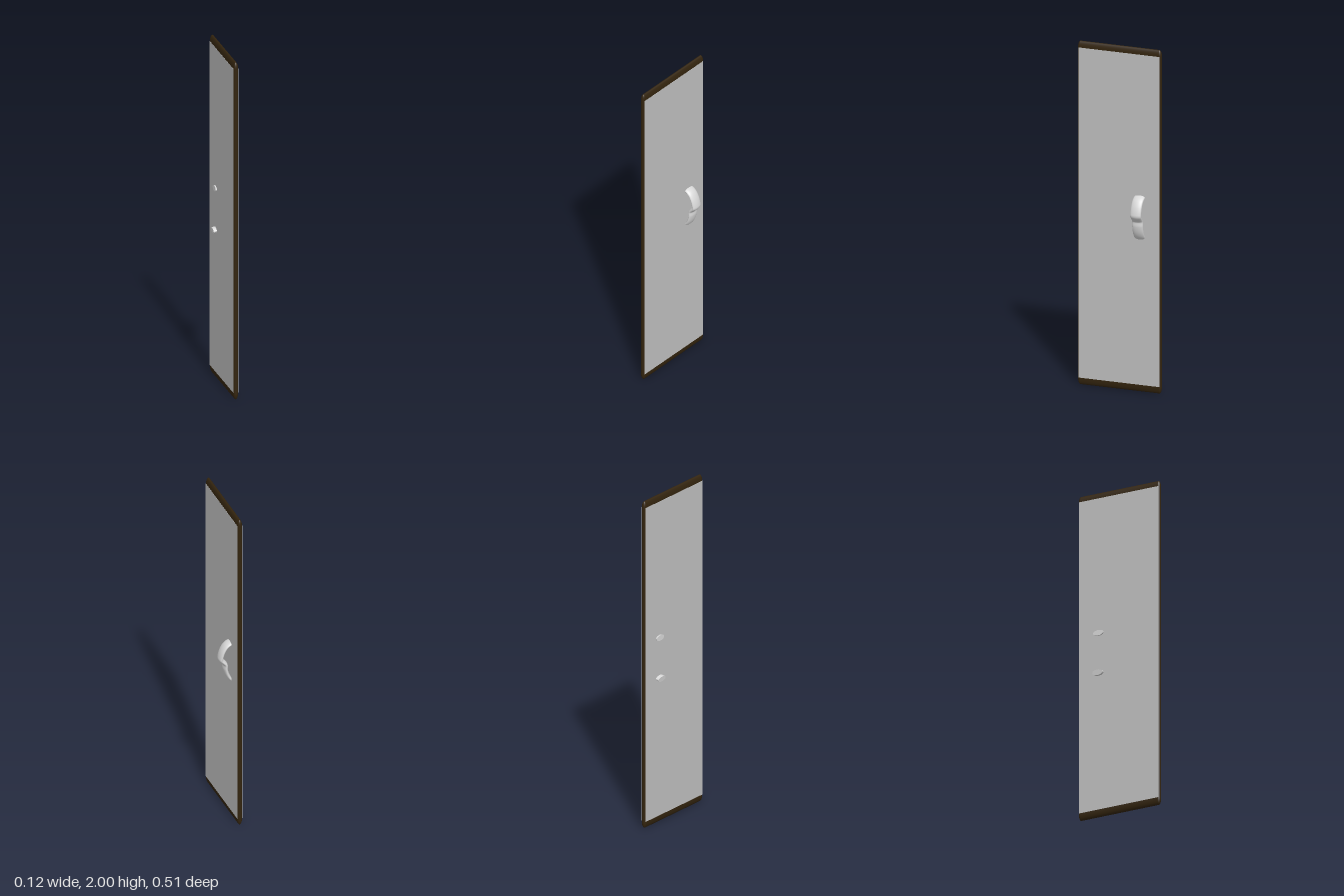
import * as THREE from 'three';
import { RoundedBoxGeometry } from 'three/addons/geometries/RoundedBoxGeometry.js';

const PANEL_X = -0.026; // mid-plane of the door leaf
const HANDLE_Z = -0.126;
const SECTION_STRETCH = 2.7; // handle is a flattened tube, wide in z

export function createModel() {
  const model = new THREE.Group();
  model.name = 'cabinetDoor';

  const edging = new THREE.MeshStandardMaterial({ color: 0x33240e });
  edging.name = 'dark brown edging';
  const panel = new THREE.MeshStandardMaterial({ color: 0xc0c0c0 });
  panel.name = 'grey panel';
  const metal = new THREE.MeshStandardMaterial({ color: 0xd8d8d8 });
  metal.name = 'pale metal';

  function add(name, geometry, material, x, y, z, parent = model) {
    const mesh = new THREE.Mesh(geometry, material);
    mesh.name = name;
    mesh.position.set(x, y, z);
    parent.add(mesh);
    return mesh;
  }

  // Door leaf with bullnose edges, the rounding stretched at top and bottom
  const stretch = 2.6;
  const leaf = new RoundedBoxGeometry(0.028, 2 / stretch, 0.51, 5, 0.014);
  leaf.scale(1, stretch, 1);
  add('doorEdging', leaf, edging, PANEL_X, 1, 0);

  // Grey faces on both sides
  for (const side of [-1, 1]) {
    add(side > 0 ? 'leftFace' : 'rightFace', new THREE.BoxGeometry(0.002, 1.922, 0.494),
      panel, PANEL_X + side * 0.0138, 1.002, 0);
  }

  // Handle: two bowed grips meeting at a pinch
  const handle = new THREE.Group();
  handle.name = 'handle';
  handle.position.z = HANDLE_Z;
  model.add(handle);

  const path = new THREE.CatmullRomCurve3([
    [-0.04, 1.132], [-0.012, 1.132], [0.012, 1.118], [0.032, 1.088],
    [0.044, 1.05], [0.045, 1.034], [0.03, 1.016], [0.018, 1.0],
    [0.017, 0.97], [0.007, 0.932], [-0.008, 0.906], [-0.028, 0.89], [-0.05, 0.883],
  ].map(([x, y]) => new THREE.Vector3(x, y, 0)));
  const grip = new THREE.TubeGeometry(path, 72, 0.0122, 20, false);
  grip.scale(1, 1, SECTION_STRETCH);
  add('grip', grip, metal, 0, 0, 0, handle);

  // Mounting studs that come through the other side
  const studs = [
    ['upperStud', -0.037, 1.13, 0.022, 0],
    ['lowerStud', -0.046, 0.883, 0.026, 0.15],
  ];
  for (const [name, x, y, length, tilt] of studs) {
    const geometry = new THREE.CylinderGeometry(0.0165, 0.0165, length, 24);
    geometry.rotateZ(Math.PI / 2);
    geometry.scale(1, 1, 1.9);
    add(name, geometry, metal, x, y, 0, handle).rotation.z = tilt;
  }

  return model;
}
